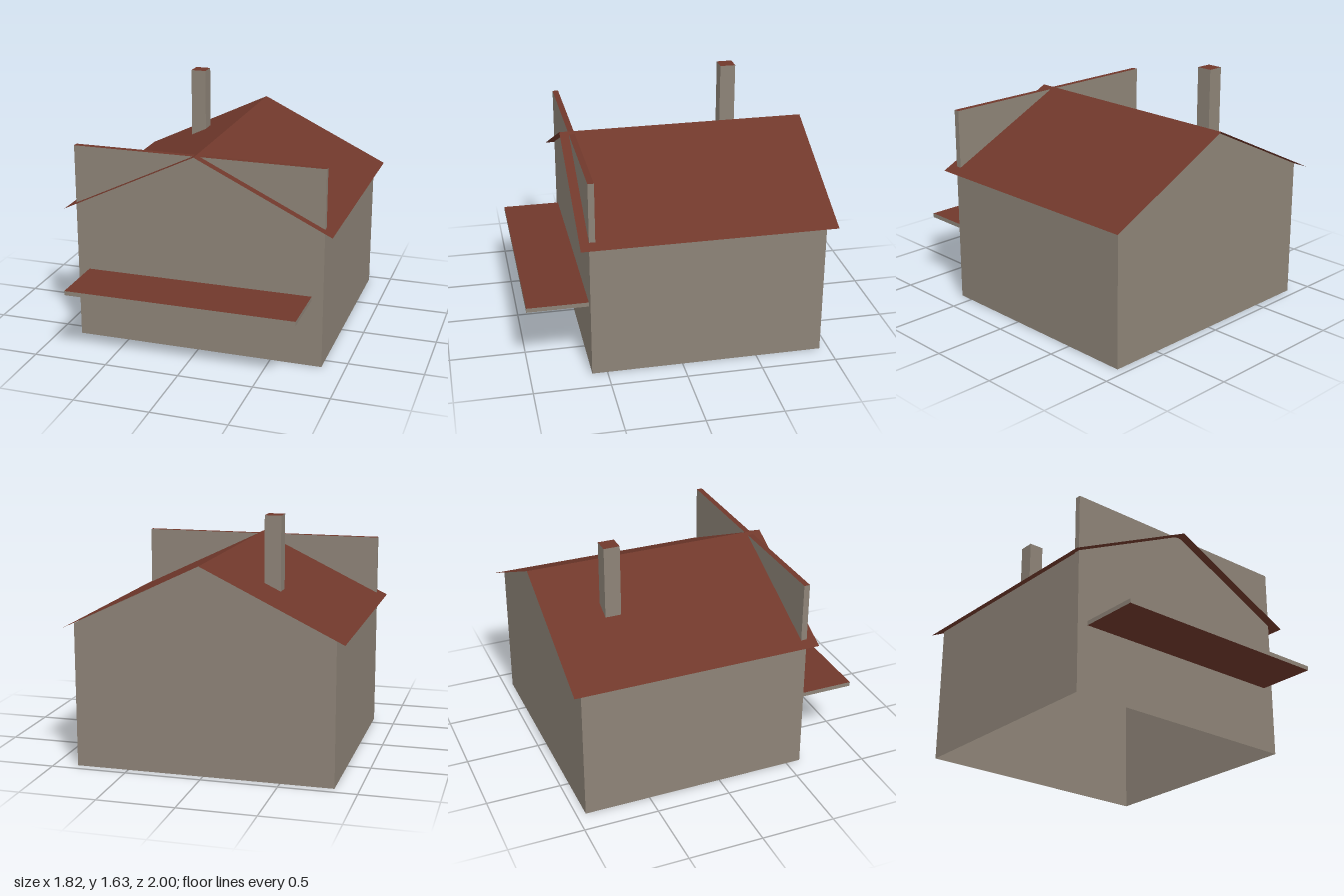
import * as THREE from 'three';

export function createModel() {
  const model = new THREE.Group();
  const stone = new THREE.MeshStandardMaterial({ color: 0x8d8377, side: THREE.DoubleSide });
  stone.name = 'stone grey';
  const tile = new THREE.MeshStandardMaterial({ color: 0x70382b, side: THREE.DoubleSide });
  tile.name = 'roof red';

  const halfW = 0.846, front = 0.6, back = -0.94, wallTop = 0.945, peak = 1.35;

  const add = (name, geometry, material) => {
    const mesh = new THREE.Mesh(geometry, material);
    mesh.name = name;
    model.add(mesh);
    return mesh;
  };
  // Box given by its limits: grey sides, red top and bottom
  const slab = (name, [x0, x1], [y0, y1], [z0, z1]) =>
    add(name, new THREE.BoxGeometry(x1 - x0, y1 - y0, z1 - z0), [stone, stone, tile, tile, stone, stone])
      .position.set((x0 + x1) / 2, (y0 + y1) / 2, (z0 + z1) / 2);

  // Gabled end walls, single skin
  const gable = new THREE.Shape([
    [-halfW, 0], [halfW, 0], [halfW, wallTop], [0, peak], [-halfW, wallTop],
  ].map(([x, y]) => new THREE.Vector2(x, y)));
  add('frontWall', new THREE.ShapeGeometry(gable), stone).position.z = front;
  const backWall = add('backWall', new THREE.ShapeGeometry(gable), stone);
  backWall.rotation.y = Math.PI;
  backWall.position.z = back;

  // Side walls and thin roof slopes, mirrored
  const ridge = 1.357, eave = 0.92, eaveX = 0.908;
  const slope = Math.hypot(eaveX, ridge - eave), pitch = Math.atan2(ridge - eave, eaveX);
  for (const [side, s] of [['left', 1], ['right', -1]]) {
    const wall = add(side + 'Wall', new THREE.PlaneGeometry(front - back, wallTop), stone);
    wall.rotation.y = s * Math.PI / 2;
    wall.position.set(s * halfW, wallTop / 2, (front + back) / 2);

    const roof = new THREE.PlaneGeometry(slope, 1.66).rotateX(-Math.PI / 2).rotateZ(-s * pitch);
    add(side + 'Roof', roof, tile).position.set(s * eaveX / 2, (ridge + eave) / 2, -0.17);
  }

  // Square parapet standing through the front of the roof
  slab('parapet', [-halfW, halfW], [wallTop, 1.345], [0.56, front]);
  // Flat canopy across the front
  slab('canopy', [-0.77, 0.77], [0.457, 0.486], [front, 1]);
  // Chimney on the right slope
  slab('chimney', [-0.424, -0.318], [1.13, 1.632], [-0.622, -0.516]);

  return model;
}
